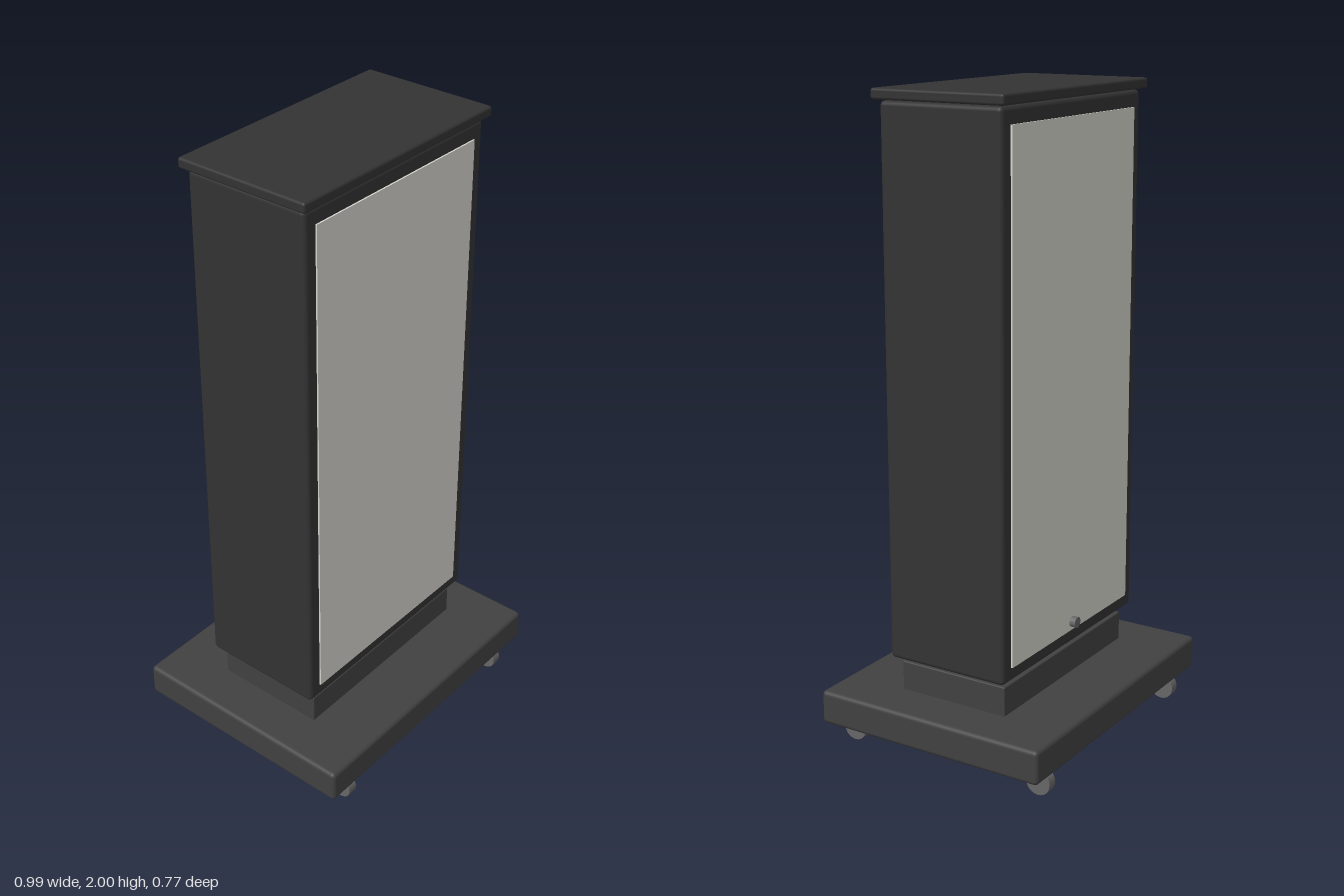
import * as THREE from 'three';
import { RoundedBoxGeometry } from 'three/addons/geometries/RoundedBoxGeometry.js';

const material = (color) => new THREE.MeshStandardMaterial({ color });

export function createModel() {
  const model = new THREE.Group();
  const black = material(0x333333);
  const charcoal = material(0x414141);
  const panelWhite = material(0xd4d3cc);
  const grey = material(0x666666);

  const add = (name, geometry, mat, x, y, z, parent = model) => {
    const mesh = new THREE.Mesh(geometry, mat);
    mesh.name = name;
    mesh.position.set(x, y, z);
    parent.add(mesh);
    return mesh;
  };
  // Rounded slab given by its bottom and top heights
  const slab = (name, w, d, y0, y1, radius, mat) =>
    add(name, new RoundedBoxGeometry(w, y1 - y0, d, 3, radius), mat, 0, (y0 + y1) / 2, 0);

  // Stacked body: base, plinth, cabinet floating just above it, and cap
  slab('base', 0.994, 0.774, 0.08, 0.187, 0.014, charcoal);
  slab('plinth', 0.70, 0.368, 0.18, 0.279, 0.004, charcoal);
  slab('cabinet', 0.774, 0.406, 0.30, 1.965, 0.014, black);
  slab('cap', 0.81, 0.44, 1.968, 2.0, 0.008, black);

  // Display panels, slightly proud of the cabinet front and back
  for (const [name, side] of [['frontPanel', 1], ['backPanel', -1]]) {
    add(name, new THREE.BoxGeometry(0.686, 1.57, 0.012), panelWhite, 0, 1.13, side * 0.202);
  }

  // Lock knob low on the back panel
  const knob = add('lock', new THREE.CylinderGeometry(0.017, 0.017, 0.024, 24), grey, 0, 0.373, -0.216);
  knob.rotation.x = Math.PI / 2;

  // Four casters: swivel plate and wheel
  const wheelGeometry = new THREE.CylinderGeometry(0.04, 0.04, 0.032, 24).rotateZ(Math.PI / 2);
  const plateGeometry = new THREE.CylinderGeometry(0.025, 0.025, 0.014, 20);
  for (const x of [-0.388, 0.388]) {
    for (const z of [-0.333, 0.333]) {
      const caster = new THREE.Group();
      caster.name = 'caster';
      caster.position.set(x, 0, z);
      add('casterWheel', wheelGeometry, grey, 0, 0.04, 0, caster);
      add('casterPlate', plateGeometry, grey, 0, 0.076, 0, caster);
      model.add(caster);
    }
  }
  return model;
}
